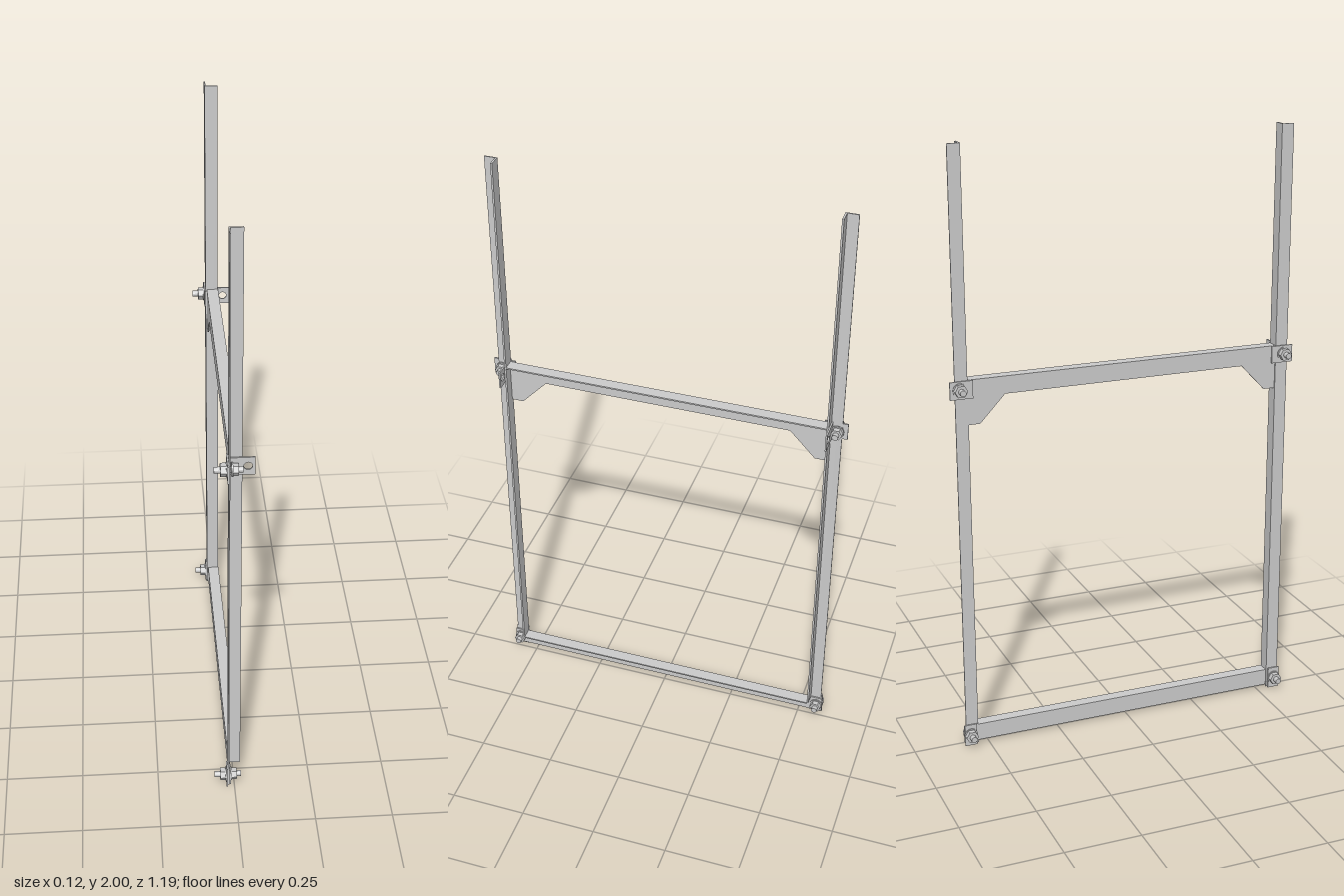
import * as THREE from 'three';

const steel = new THREE.MeshStandardMaterial({ color: 0xcccccc, flatShading: true });
const T = 0.005; // sheet thickness

function add(parent, name, geometry) {
  const mesh = new THREE.Mesh(geometry, steel);
  mesh.name = name;
  parent.add(mesh);
  return mesh;
}

// Box given by its limits on each axis
function slab(parent, name, [x0, x1], [y0, y1], [z0, z1]) {
  const mesh = add(parent, name, new THREE.BoxGeometry(x1 - x0, y1 - y0, Math.abs(z1 - z0)));
  mesh.position.set((x0 + x1) / 2, (y0 + y1) / 2, (z0 + z1) / 2);
}

// Cylinder lying along x
function rod(parent, name, x0, x1, radius, sides, y, z) {
  const mesh = add(parent, name, new THREE.CylinderGeometry(radius, radius, x1 - x0, sides));
  mesh.rotation.z = Math.PI / 2;
  mesh.position.set((x0 + x1) / 2, y, z);
}

function bolt(parent, y, z) {
  const g = new THREE.Group();
  g.name = 'bolt';
  rod(g, 'shank', -0.065, 0.0, 0.010, 16, y, z);
  rod(g, 'nut', -0.046, -0.029, 0.021, 6, y, z);
  rod(g, 'backWasher', -0.029, -0.025, 0.023, 20, y, z);
  rod(g, 'frontWasher', -0.013, -0.008, 0.022, 20, y, z);
  rod(g, 'head', -0.008, 0.008, 0.019, 6, y, z);
  rod(g, 'boltTip', 0.008, 0.022, 0.010, 16, y, z);
  parent.add(g);
}

export function createModel() {
  const model = new THREE.Group();
  model.name = 'angleFrame';

  // Horizontal angle bars: upright web at the back, flange along the top
  const bars = [['crossbar', 1.207, 1.265, 0.536, 0.536], ['bottomBar', 0.01, 0.068, 0.583, 0.536]];
  for (const [name, y0, y1, webEnd, flangeEnd] of bars) {
    const bar = new THREE.Group();
    bar.name = name;
    slab(bar, 'web', [-0.017, -0.012], [y0, y1], [-webEnd, webEnd]);
    slab(bar, 'topFlange', [-0.017, 0.022], [y1 - T, y1], [-flangeEnd, flangeEnd]);
    model.add(bar);
  }

  for (const s of [1, -1]) {
    const side = new THREE.Group();
    side.name = s > 0 ? 'frontSide' : 'backSide';

    // Angle post, open to the outside
    slab(side, 'postWeb', [-0.021, -0.017], [0.003, 2], [s * 0.536, s * 0.578]);
    slab(side, 'postFlange', [-0.021, 0.021], [0.068, 2], [s * 0.536, s * 0.542]);

    // Gusset under the crossbar
    const gusset = new THREE.Shape([[0.54, 1.21], [0.54, 1.118], [0.497, 1.118], [0.41, 1.21]]
      .map(([z, y]) => new THREE.Vector2(-s * z, y)));
    const plate = add(side, 'gusset', new THREE.ExtrudeGeometry(gusset, { depth: T, bevelEnabled: false }));
    plate.rotation.y = Math.PI / 2;
    plate.position.x = -0.017;

    // Bolted clip plates behind the joints
    slab(side, 'upperClip', [-0.026, -0.021], [1.207, 1.265], [s * 0.52, s * 0.595]);
    slab(side, 'lowerClip', [-0.026, -0.021], [0, 0.075], [s * 0.542, s * 0.583]);
    bolt(side, 1.237, s * 0.563);
    bolt(side, 0.038, s * 0.563);

    // Pierced tab standing out from the post
    const tab = new THREE.Shape([[-0.017, 1.207], [0.059, 1.207], [0.059, 1.267], [-0.017, 1.267]]
      .map(([x, y]) => new THREE.Vector2(x, y)));
    const hole = new THREE.Path();
    hole.absarc(0.038, 1.237, 0.013, 0, Math.PI * 2, true);
    tab.holes.push(hole);
    const tabMesh = add(side, 'tab', new THREE.ExtrudeGeometry(tab, { depth: T, bevelEnabled: false, curveSegments: 10 }));
    tabMesh.position.z = s * 0.5445 - T / 2;

    model.add(side);
  }
  return model;
}
